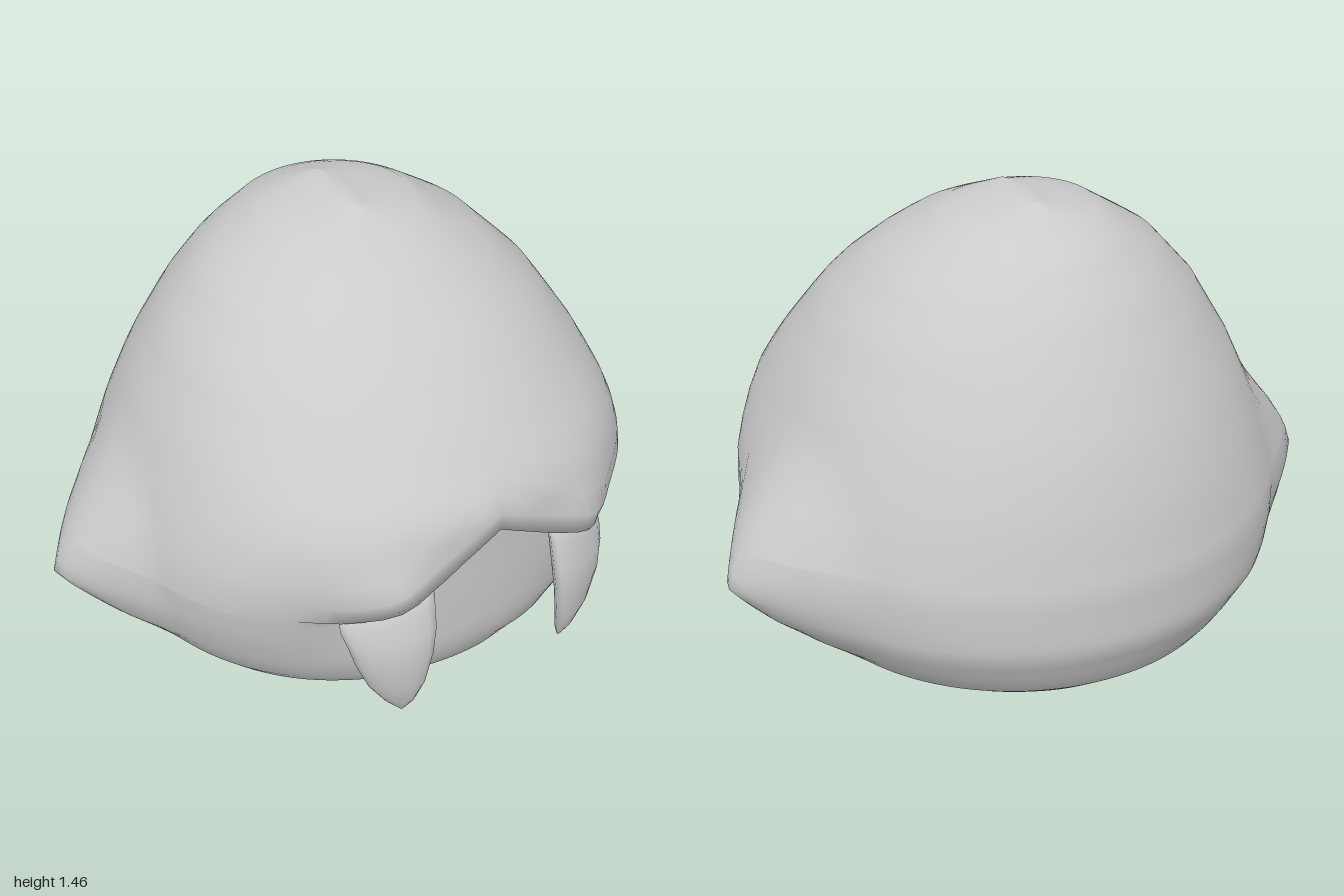
import * as THREE from 'three';

const material = new THREE.MeshStandardMaterial({ color: 0xcccccc });

// Piecewise-linear lookup in [key, value] pairs with rising keys
function lookup(table, k) {
  if (k <= table[0][0]) return table[0][1];
  for (let i = 1; i < table.length; i++) {
    const [k0, v0] = table[i - 1], [k1, v1] = table[i];
    if (k <= k1) return v0 + (v1 - v0) * (k - k0) / (k1 - k0);
  }
  return table[table.length - 1][1];
}

// Closed skin over rings of points, ordered from top to bottom
function loft(rings) {
  const n = rings[0].length, last = (rings.length - 1) * n, index = [];
  const centre = (ring) => ring.reduce((s, p) => s.add(p), new THREE.Vector3()).divideScalar(n);
  const points = [...rings.flat(), centre(rings[0]), centre(rings[rings.length - 1])];
  for (let c = 0; c < n; c++) {
    const d = (c + 1) % n;
    for (let r = 0; r < last; r += n) index.push(r + c, r + d, r + n + c, r + d, r + n + d, r + n + c);
    index.push(points.length - 2, d, c, points.length - 1, last + c, last + d);
  }
  const g = new THREE.BufferGeometry().setFromPoints(points);
  g.setIndex(index);
  g.computeVertexNormals();
  return g;
}

// Head outlines by height: half width, back, front above the lip, front of the jaw
const WIDTH = [[0, 0.4], [0.015, 0.44], [0.06, 0.57], [0.12, 0.665], [0.19, 0.74], [0.29, 0.805], [0.4, 0.834],
  [0.5, 0.84], [0.6, 0.825], [0.75, 0.77], [0.95, 0.68], [1.13, 0.57], [1.28, 0.43], [1.41, 0.23], [1.455, 0.02]];
const BACK = [[0, -0.43], [0.04, -0.6], [0.13, -0.72], [0.29, -0.8], [0.48, -0.8], [0.7, -0.76],
  [0.88, -0.7], [1.05, -0.62], [1.22, -0.52], [1.36, -0.4], [1.455, -0.2]];
const FRONT = [[0, 0.36], [0.02, 0.42], [0.07, 0.54], [0.17, 0.65], [0.25, 0.69], [0.5, 0.735], [0.65, 0.78],
  [0.83, 0.78], [1.03, 0.63], [1.19, 0.48], [1.35, 0.27], [1.455, 0.03]];
const JAW = [[0, 0.36], [0.02, 0.42], [0.07, 0.54], [0.17, 0.65], [0.27, 0.69], [0.45, 0.7], [0.6, 0.705], [0.75, 0.715]];
// Squareness of the front half by height
const SQUARE = [[0.25, 2.1], [0.5, 2.3], [0.75, 2.3], [1, 2.1]];
// Height of the lip edge and depth of the mouth by distance from the middle
const LIP = [[0, 0.75], [0.21, 0.635], [0.47, 0.53], [0.6, 0.53], [0.72, 0.52]];
const MOUTH = [[0, 1], [0.4, 1], [0.56, 0]];

const SIDES = 104, UPPER = 20, LOWER = 13, TOP = 1.455;

function headPoint(angle, y, mouth) {
  const c = Math.cos(angle), s = Math.sin(angle);
  const power = s > 0 ? 2 / lookup(SQUARE, y) : 1;
  const front = THREE.MathUtils.lerp(lookup(FRONT, y), lookup(JAW, y), mouth);
  const back = lookup(BACK, y);
  // The middle of the slice moves back near the crown
  const mid = Math.min(0, (front + back) / 2);
  let x = lookup(WIDTH, y) * Math.sign(c) * Math.abs(c) ** power;
  let z = mid + (s > 0 ? (front - mid) * s ** power : (mid - back) * s);
  // Lip swells over the root of each tusk
  if (s > 0) {
    const swell = ((Math.abs(x) - 0.35) / 0.13) ** 2 + ((y - 0.6) / 0.12) ** 2;
    z += (1 - mouth) * 0.06 * Math.exp(-swell);
  }
  // Pointed cheek on each side, reaching further up than down
  const away = Math.hypot((y - 0.4) / (y > 0.4 ? 0.4 : 0.3), (z + 0.124) / 0.35);
  x += Math.sign(c) * 0.172 * Math.max(0, 1 - away) ** 1.25;
  return new THREE.Vector3(x, y, z);
}

function headGeometry() {
  const rings = [];
  const addRing = (height, inMouth) => rings.push(Array.from({ length: SIDES }, (_, i) => {
    const angle = i * 2 * Math.PI / SIDES;
    const x = Math.sin(angle) > 0 ? 0.82 * Math.abs(Math.cos(angle)) ** (2 / 2.3) : 1;
    return headPoint(angle, height(lookup(LIP, x)), inMouth ? lookup(MOUTH, x) : 0);
  }));
  // Crown down to the lip edge, then from inside the lip down the jaw
  for (let r = 0; r <= UPPER; r++) {
    addRing((lip) => lip + (TOP - lip) * Math.cos(r / UPPER * Math.PI / 2), false);
  }
  addRing((lip) => lip - 0.004, true);
  for (let r = LOWER - 1; r >= 0; r--) addRing((lip) => lip * r / LOWER, true);
  return loft(rings);
}

// Tusk rings: centre x, y, z, half width, half depth, slope of the ring
const TUSK = [
  [0.34, 0.59, 0.69, 0.125, 0.045, -0.38], [0.34, 0.54, 0.705, 0.13, 0.052, -0.38],
  [0.337, 0.47, 0.725, 0.122, 0.055, -0.2], [0.335, 0.39, 0.735, 0.108, 0.052, -0.1],
  [0.325, 0.28, 0.735, 0.078, 0.042, 0], [0.308, 0.2, 0.727, 0.042, 0.028, 0],
  [0.295, 0.145, 0.72, 0.005, 0.005, 0],
];
// The outer edge of each tusk lies further back than the inner edge
const TUSK_TURN = 0.38;

function tuskGeometry(side) {
  return loft(TUSK.map(([cx, cy, cz, w, d, slope]) => Array.from({ length: 16 }, (_, i) => {
    const a = i * Math.PI / 8, dx = w * Math.cos(a);
    return new THREE.Vector3(side * cx + dx, cy + side * slope * dx, cz + d * Math.sin(a) - side * TUSK_TURN * dx);
  })));
}

export function createModel() {
  const model = new THREE.Group();
  model.name = 'tuskedHead';
  const add = (name, geometry) => {
    const mesh = new THREE.Mesh(geometry, material);
    mesh.name = name;
    model.add(mesh);
  };
  add('head', headGeometry());
  add('leftTusk', tuskGeometry(1));
  add('rightTusk', tuskGeometry(-1));
  return model;
}
